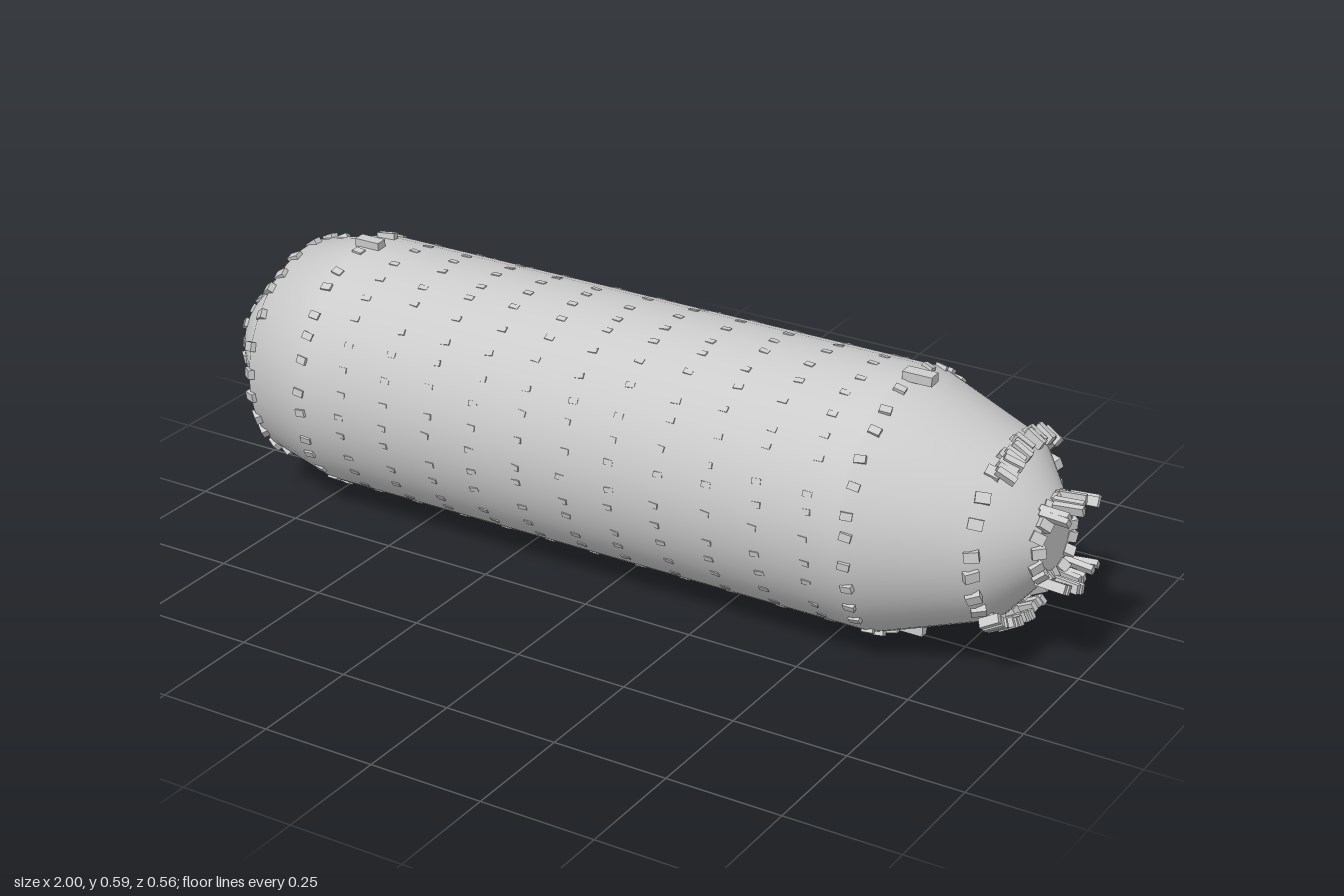
import * as THREE from 'three';
import { mergeGeometries } from 'three/addons/utils/BufferGeometryUtils.js';

const CY = 0.295; // height of the tank axis
const R = 0.275; // barrel radius
const smooth = new THREE.MeshStandardMaterial({ color: 0xcccccc });
const flat = new THREE.MeshStandardMaterial({ color: 0xcccccc, flatShading: true });

// Small seeded generator, returns -1..1
let seed = 7;
function jitter() {
  seed = (seed * 16807) % 2147483647;
  return (seed / 2147483647) * 2 - 1;
}

// Block on the shell: length along the axis, height outwards, width around it
function block(x, r, angle, [length, height, width], tilt = 0, twist = 0) {
  return new THREE.BoxGeometry(length, height, width)
    .rotateY(twist)
    .rotateZ(tilt)
    .translate(x, r, 0)
    .rotateX(angle);
}

// Ring of slightly uneven blocks, lying on a shell of the given slope
function ring(x, r, count, size, tilt, wobble) {
  return Array.from({ length: count }, (_, i) => {
    const angle = ((i + 0.2 * jitter()) / count) * Math.PI * 2;
    return block(x + 0.005 * jitter(), r, angle, size, tilt + wobble * jitter(), wobble * jitter());
  });
}

// Short stepped stack of blocks, side by side around the axis
function stack(x, r, degrees, size, tilt, steps = 3) {
  return Array.from({ length: steps }, (_, i) => {
    const angle = THREE.MathUtils.degToRad(degrees) + ((i - (steps - 1) / 2) * size[2] * 0.9) / r;
    return block(x + i * 0.004, r + 0.003 * jitter(), angle, size, tilt, 0.15 * jitter());
  });
}

export function createModel() {
  seed = 7;
  const model = new THREE.Group();
  const add = (name, geometry, material) => {
    const mesh = new THREE.Mesh(geometry, material);
    mesh.name = name;
    mesh.position.y = CY;
    model.add(mesh);
  };
  const addBlocks = (name, blocks) => add(name, mergeGeometries(blocks), flat);

  // Shell: blunt tail, straight barrel, tapered nose
  const profile = [
    [0.1, -0.988], [0.24, -0.865], [R, -0.715], [R, -0.7],
    [R, 0.59], [R, 0.605], [0.19, 0.84], [0.078, 0.932],
  ].map(([r, x]) => new THREE.Vector2(r, x));
  add('shell', new THREE.LatheGeometry(profile, 48).rotateZ(-Math.PI / 2), smooth);

  // Flat end plates
  add('tailPlate', new THREE.CircleGeometry(0.1, 48).rotateY(-Math.PI / 2).translate(-0.988, 0, 0), smooth);
  add('nosePlate', new THREE.CircleGeometry(0.078, 48).rotateY(Math.PI / 2).translate(0.932, 0, 0), smooth);

  // Nearly flush rivets along the barrel
  const rivets = [];
  for (let i = 0; i < 11; i++) {
    rivets.push(...ring(-0.6 + i * 0.112, R - 0.0035, 32, [0.02, 0.01, 0.012], 0, 0.12));
  }
  addBlocks('barrelRivets', rivets);

  // Rivets where the barrel meets its ends
  addBlocks('rearSeamRivets', ring(-0.705, R - 0.002, 30, [0.024, 0.012, 0.016], 0.08, 0.2));
  addBlocks('frontSeamRivets', ring(0.61, R - 0.002, 30, [0.024, 0.012, 0.016], -0.15, 0.2));

  // Rivets on the tail
  addBlocks('tailRivets', ring(-0.862, 0.24, 26, [0.028, 0.014, 0.02], 0.5, 0.25));
  addBlocks('tailRimRivets', ring(-0.984, 0.1, 18, [0.024, 0.016, 0.02], 0.85, 0.25));

  // Rivets on the nose
  addBlocks('noseRivets', ring(0.842, 0.188, 22, [0.03, 0.016, 0.022], -0.6, 0.25));
  addBlocks('noseRimRivets', ring(0.93, 0.081, 16, [0.028, 0.022, 0.022], -0.8, 0.3));

  // Raised lugs above and below on the seams
  addBlocks('seamLugs', [
    block(0.632, 0.281, 0.05, [0.065, 0.02, 0.028]),
    block(0.63, 0.284, Math.PI, [0.055, 0.022, 0.02]),
    block(0.62, 0.282, Math.PI + 0.2, [0.04, 0.02, 0.025], -0.1, 0.2),
    block(-0.695, 0.281, 0.05, [0.06, 0.02, 0.026]),
    block(-0.7, 0.278, -0.2, [0.04, 0.016, 0.022], 0.1, 0.2),
  ]);

  // Stepped lugs around the nose
  const noseLugs = [30, 20, 9, -8, -21, -34, 141, 164, 180, 195, 211, 222]
    .flatMap((degrees) => stack(0.862, 0.194, degrees, [0.042, 0.02, 0.013], -0.5));
  addBlocks('noseLugs', noseLugs);

  // Prongs reaching forward from the nose rim
  const prongs = [35, 14, -12, -36, 152, 174, 198, 218]
    .flatMap((degrees, i) => stack(0.95 + (i % 2) * 0.014, 0.09, degrees, [0.063, 0.02, 0.012], 0.05, 2));
  addBlocks('noseProngs', prongs);

  return model;
}
